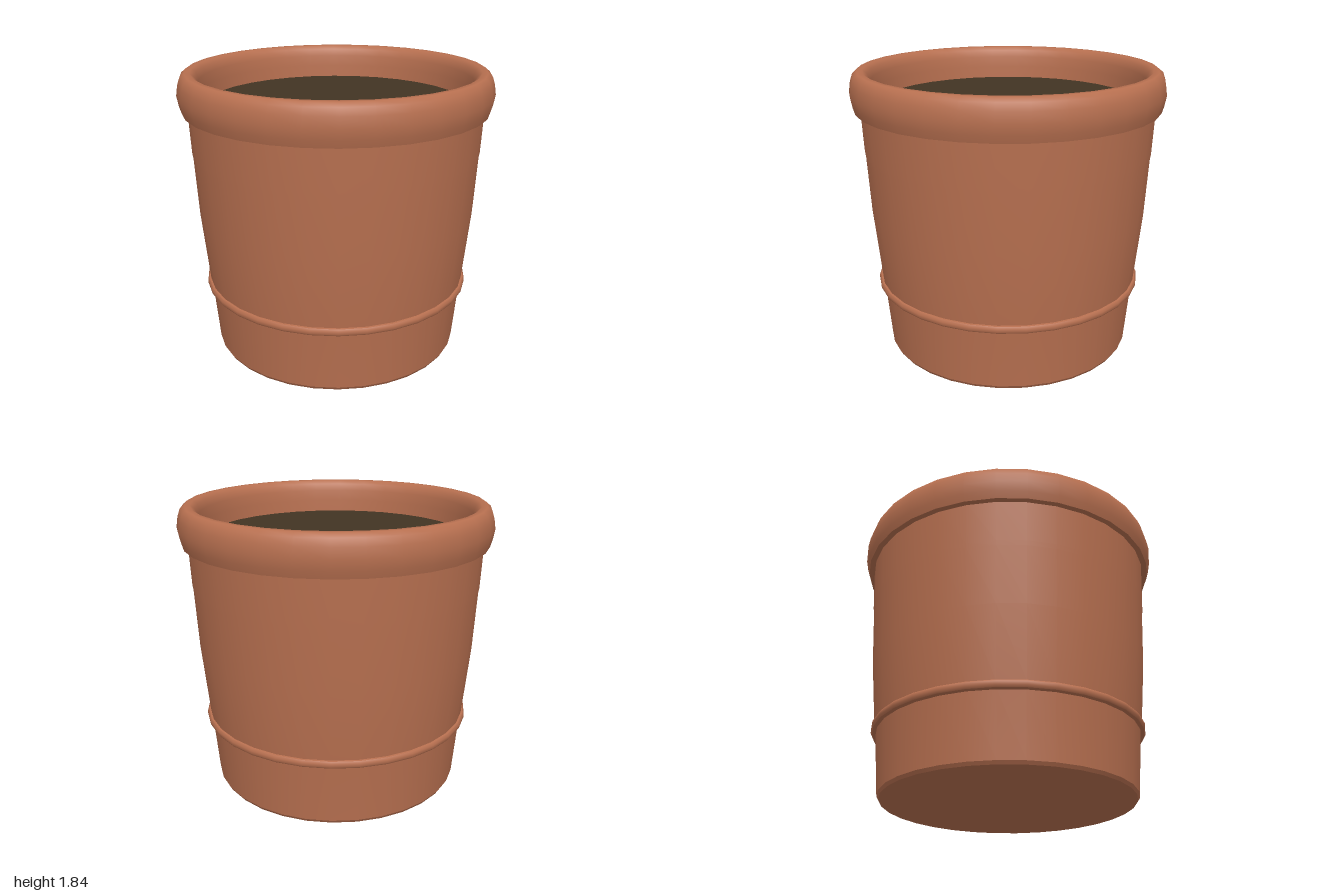
import * as THREE from 'three';

const SIDES = 32;

export function createModel() {
  const group = new THREE.Group();
  const terracotta = new THREE.MeshStandardMaterial({ color: 0xb87050 });
  terracotta.name = 'terracotta';
  const soilBrown = new THREE.MeshStandardMaterial({ color: 0x423423 });
  soilBrown.name = 'soilBrown';

  // Each piece is one smooth run of the profile; edges between runs stay sharp.
  function turn(name, material, ...runs) {
    const part = new THREE.Group();
    part.name = name;
    runs.forEach((run, i) => {
      const points = run.map(([r, y]) => new THREE.Vector2(r, y));
      const mesh = new THREE.Mesh(new THREE.LatheGeometry(points, SIDES), material);
      mesh.name = name + 'Surface' + (i + 1);
      part.add(mesh);
    });
    group.add(part);
  }

  // Tapered wall with a closed foot and a faint raised line near the top
  turn('body', terracotta,
    [[0, 0], [0.8, 0]],
    [[0.8, 0], [0.812, 0.02]],
    [[0.812, 0.02], [0.847, 0.42], [0.856, 0.46], [0.9, 0.92], [0.92, 1.3], [0.925, 1.33], [0.938, 1.61]]);

  // Thin band around the lower wall
  turn('band', terracotta,
    [[0.842, 0.41], [0.868, 0.415]],
    [[0.868, 0.415], [0.877, 0.428], [0.877, 0.448], [0.868, 0.46]],
    [[0.868, 0.46], [0.85, 0.463]]);

  // Thick rolled rim and the inner wall below it
  turn('rim', terracotta,
    [[0.93, 1.595], [0.973, 1.595]],
    [[0.973, 1.595], [0.986, 1.64], [0.998, 1.705], [0.988, 1.77], [0.973, 1.815], [0.945, 1.838],
      [0.91, 1.838], [0.882, 1.815], [0.868, 1.77], [0.86, 1.7], [0.853, 1.57]]);

  // Soil disc with a dropped edge
  turn('soil', soilBrown,
    [[0.86, 1.59], [0.838, 1.625]],
    [[0.838, 1.625], [0, 1.63]]);

  return group;
}
